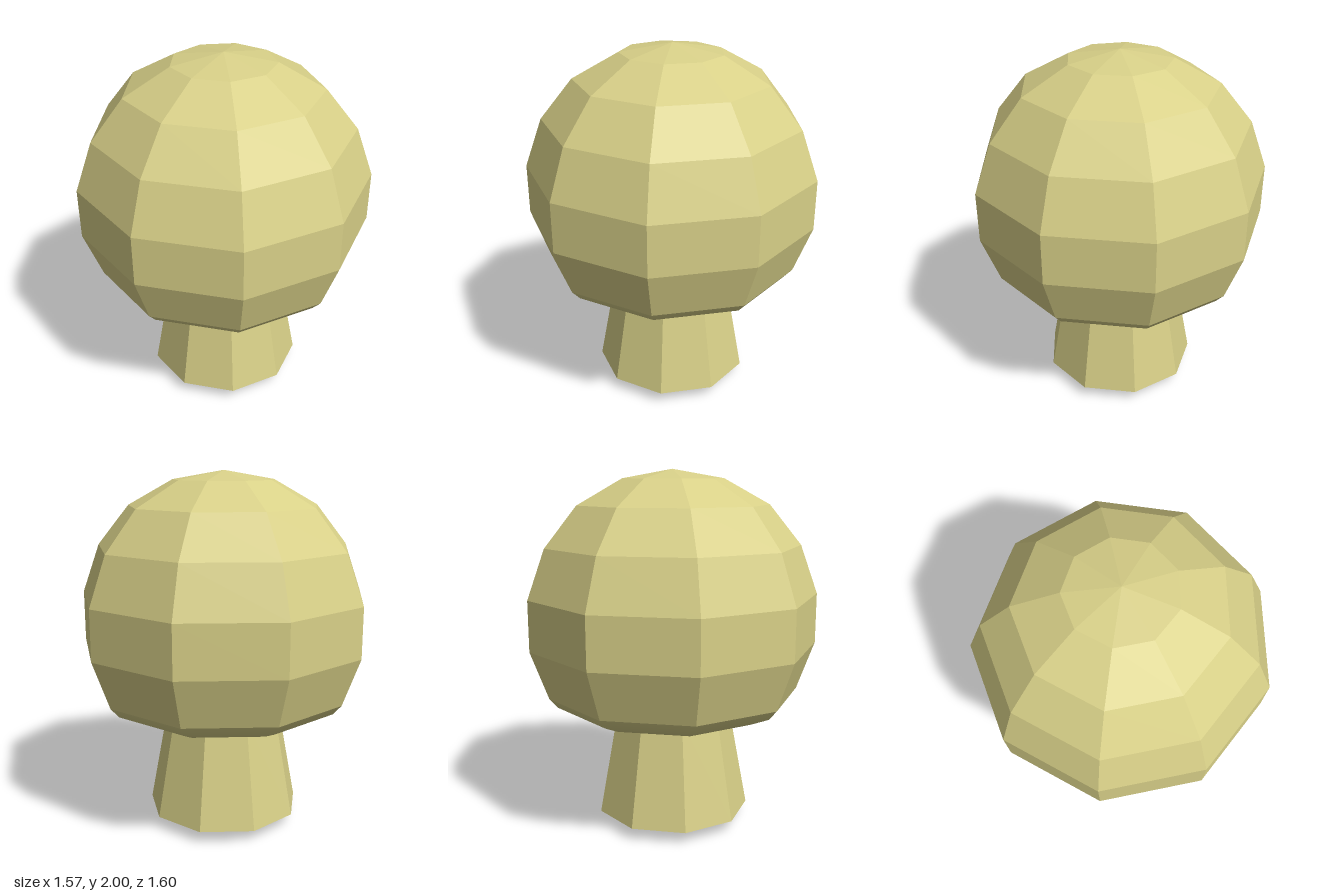
import * as THREE from 'three';

const SIDES = 9;

// Nine-sided turned part, one corner pointing to +x; profile runs bottom to top
function turned(name, profile, material) {
  const points = profile.map(([r, y]) => new THREE.Vector2(r, y));
  const geometry = new THREE.LatheGeometry(points, SIDES, Math.PI / 2);
  const mesh = new THREE.Mesh(geometry, material);
  mesh.name = name;
  return mesh;
}

export function createModel() {
  const group = new THREE.Group();
  group.name = 'mushroom';
  const color = 0xd8d088;
  const faceted = new THREE.MeshStandardMaterial({ color, flatShading: true });
  const smooth = new THREE.MeshStandardMaterial({ color });

  // Flared stem with a shallow pointed base, ending inside the cap
  group.add(turned('stem', [[0, 0], [0.437, 0.07], [0.325, 0.67], [0.265, 1.0]], faceted));

  // Faceted dome
  group.add(turned('cap', [
    [0.713, 0.77], [0.811, 1.04], [0.811, 1.32], [0.713, 1.59],
    [0.535, 1.81], [0.283, 1.95], [0, 2],
  ], faceted));

  // Soft rolled rim around the opening
  group.add(turned('capRim', [
    [0.45, 0.685], [0.49, 0.667], [0.555, 0.665], [0.665, 0.715], [0.713, 0.77],
  ], smooth));

  // Hollow inside the cap, around the top of the stem
  group.add(turned('capHollow', [[0, 1.0], [0.45, 1.0], [0.45, 0.685]], faceted));

  // The odd number of sides puts the axis slightly off the middle
  group.children.forEach((part) => { part.position.x = -0.025; });
  return group;
}
